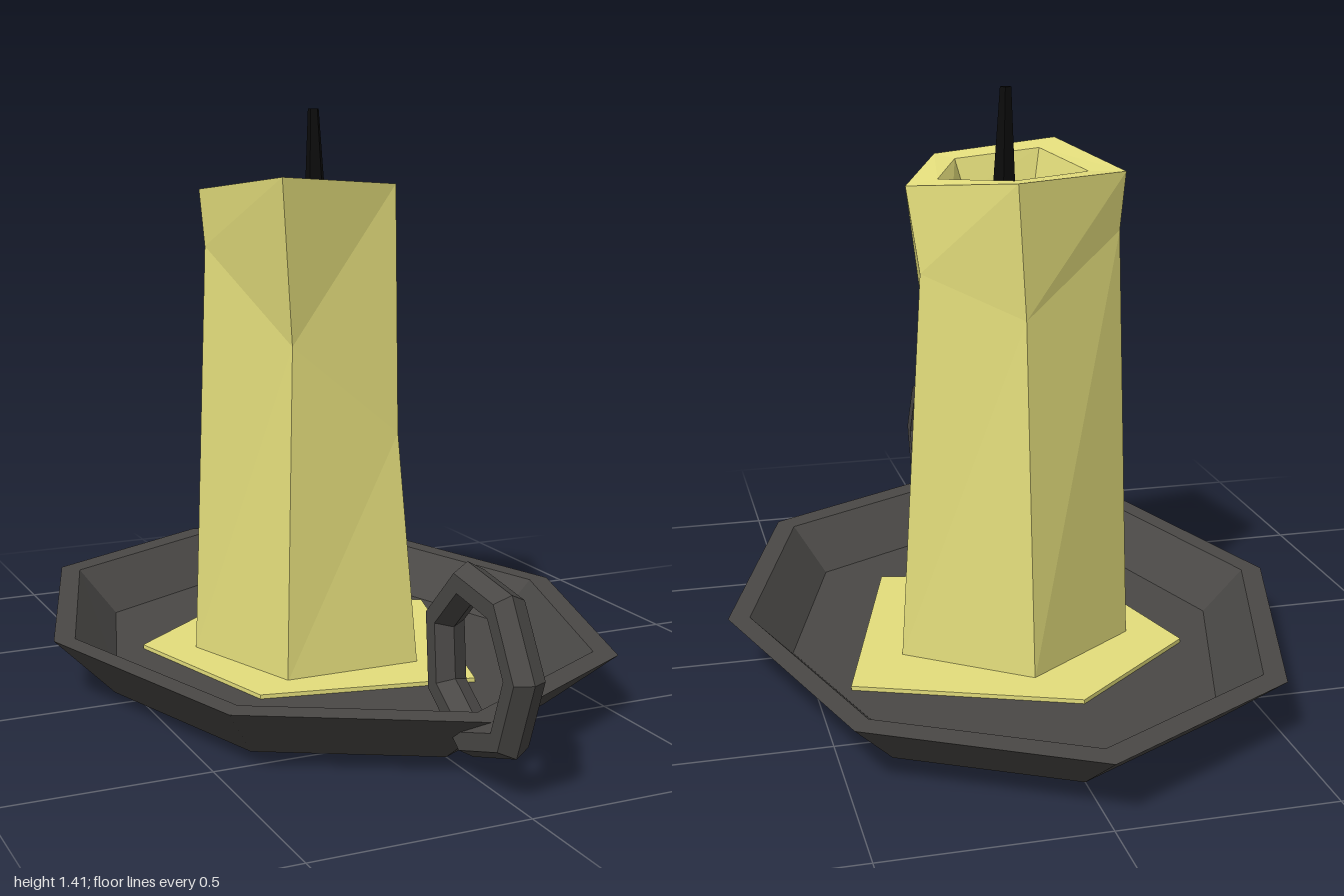
import * as THREE from 'three';

const paint = (color) => new THREE.MeshStandardMaterial({ color, flatShading: true });
const iron = paint(0x4a4846);
const wax = paint(0xe4de7c);
const melt = paint(0xa5945a);
const soot = paint(0x0c0c0c);

// Skin over rings of [x, y, z] points (counter-clockwise from above, outside going up), with optional end caps
function loft(rings, capStart, capEnd) {
  const pos = [];
  const tri = (a, b, c) => pos.push(...a, ...b, ...c);
  for (let i = 0; i < rings.length - 1; i++) {
    const lo = rings[i], hi = rings[i + 1], n = lo.length;
    for (let j = 0; j < n; j++) {
      const k = (j + 1) % n;
      tri(lo[j], lo[k], hi[k]);
      tri(lo[j], hi[k], hi[j]);
    }
  }
  const cap = (r, flip) => {
    for (let j = 1; j < r.length - 1; j++) {
      if (flip) tri(r[0], r[j + 1], r[j]);
      else tri(r[0], r[j], r[j + 1]);
    }
  };
  if (capStart) cap(rings[0], true);
  if (capEnd) cap(rings[rings.length - 1], false);
  const g = new THREE.BufferGeometry();
  g.setAttribute('position', new THREE.Float32BufferAttribute(pos, 3));
  g.computeVertexNormals();
  return g;
}

// Regular polygon stretched to an ellipse
function polygon(n, rx, rz, y, cz) {
  return Array.from({ length: n }, (_, i) => {
    const a = (i / n) * Math.PI * 2;
    return [rx * Math.cos(a), y, cz - rz * Math.sin(a)];
  });
}

export function createModel() {
  const group = new THREE.Group();
  const add = (name, geometry, material) => {
    const mesh = new THREE.Mesh(geometry, material);
    mesh.name = name;
    group.add(mesh);
    return mesh;
  };
  const cz = -0.08;

  // Octagonal dish: underside, outer wall, lip, inner wall, floor
  add('dish', loft([
    polygon(8, 0.54, 0.712, 0, cz),
    polygon(8, 0.69, 0.92, 0.15, cz),
    polygon(8, 0.637, 0.85, 0.15, cz),
    polygon(8, 0.535, 0.712, 0.045, cz),
  ], true, true), iron);

  // Seven-sided ring handle with a hexagonal section
  const ring = new THREE.TorusGeometry(0.175, 0.043, 6, 7);
  ring.rotateZ(THREE.MathUtils.degToRad(5));
  ring.rotateY(-Math.PI / 2);
  add('handle', ring, iron).position.set(0, 0.26, 0.783);

  // Flat pool of wax on the dish floor
  const pool = [[-0.41, -0.25], [-0.28, 0.23], [0.24, 0.33], [0.43, -0.32], [-0.08, -0.52]];
  add('waxPool', loft([0.044, 0.055].map((y) => pool.map(([x, z]) => [x, y, z])), false, true), wax);

  // Uneven five-sided candle with a hollow top
  const base = [[-0.18, 0.05, 0.16], [0.17, 0.05, 0.16], [0.28, 0.05, -0.175], [0, 0.05, -0.38], [-0.293, 0.05, -0.175]];
  const waist = [[-0.15, 0.86, 0.125], [0.135, 0.63, 0.115], [0.225, 1.0, -0.175], [0.01, 0.91, -0.325], [-0.258, 1.08, -0.17]];
  const rim = [[-0.19, 1.26, 0.163], [0.13, 1.237, 0.105], [0.25, 1.2, -0.14], [0.03, 1.225, -0.325], [-0.27, 1.22, -0.175]];
  const lip = [[-0.13, 1.245, 0.088], [0.09, 1.23, 0.055], [0.17, 1.21, -0.12], [0.02, 1.22, -0.25], [-0.185, 1.22, -0.15]];
  const well = [[-0.11, 1.15, 0.06], [0.07, 1.15, 0.035], [0.135, 1.15, -0.12], [0.02, 1.15, -0.22], [-0.15, 1.15, -0.14]];
  add('candle', loft([base, waist, rim, lip, well], false, false), wax);
  add('meltedWax', loft([well], false, true), melt);

  // Tapered wick leaning slightly back
  add('wick', loft([
    polygon(5, 0.03, 0.03, 1.14, -0.076),
    polygon(5, 0.014, 0.014, 1.415, -0.09),
  ], true, true), soot);

  return group;
}
